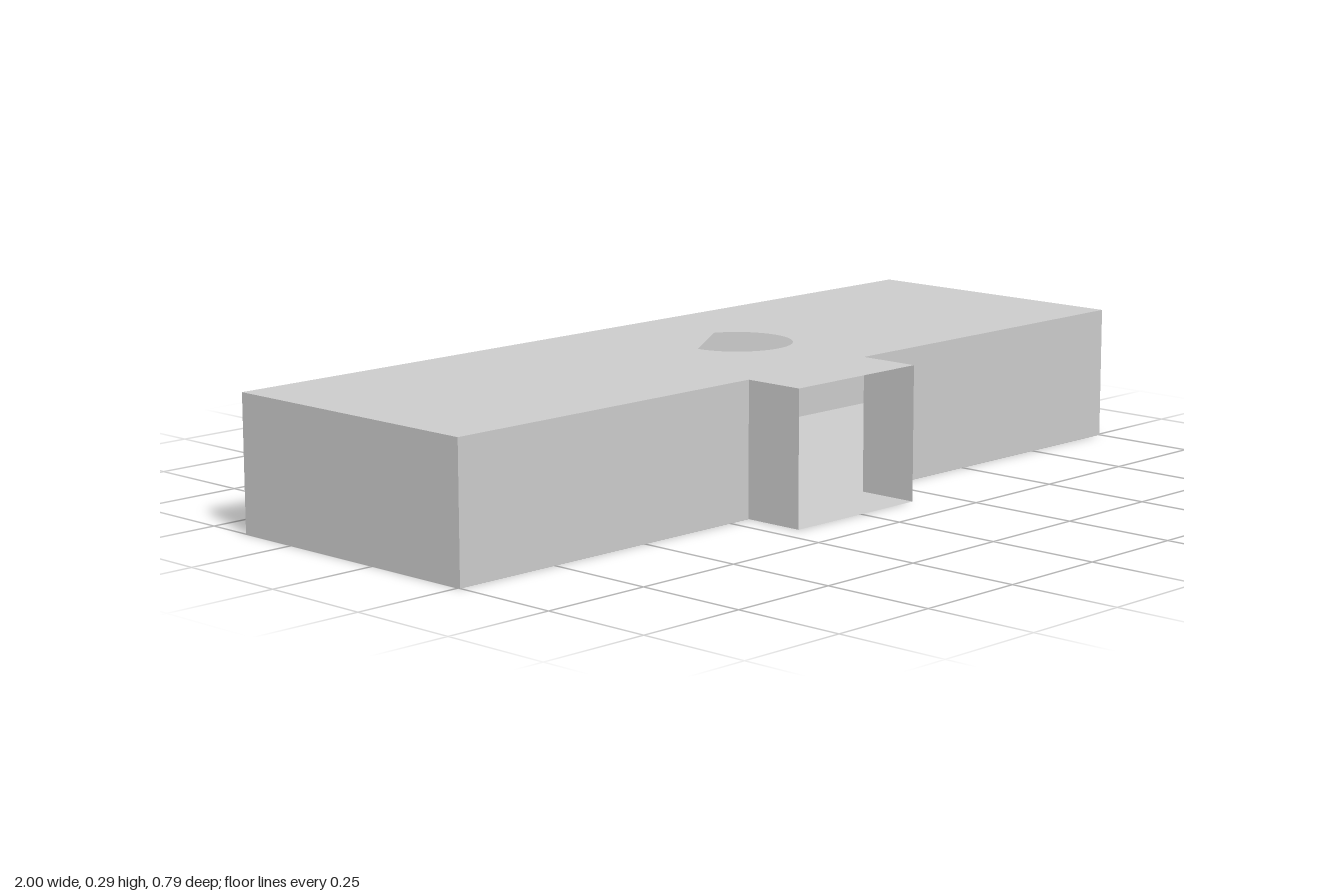
import * as THREE from 'three';

const H = 0.295;

// Plan outline as [x, z], starting and ending at the open mouth of the spout
const OUTLINE = [
  [0.165, 0.395], [0.165, 0.255], [1, 0.255], [1, -0.395],
  [-1, -0.395], [-1, 0.255], [-0.195, 0.255], [-0.195, 0.395],
];

export function createModel() {
  const group = new THREE.Group();
  const material = new THREE.MeshStandardMaterial({ color: 0xcccccc, side: THREE.DoubleSide });

  const add = (name, geometry) => {
    const mesh = new THREE.Mesh(geometry, material);
    mesh.name = name;
    group.add(mesh);
    return mesh;
  };
  const planShape = () => new THREE.Shape(OUTLINE.map(([x, z]) => new THREE.Vector2(x, -z)));

  // Floor of the hollow shell, facing down
  add('floor', new THREE.ShapeGeometry(planShape()).rotateX(-Math.PI / 2).scale(1, -1, 1));
  const floor = group.children[0].geometry;
  floor.setIndex(Array.from(floor.index.array).reverse());
  floor.computeVertexNormals();

  // Roof with a D-shaped opening: an arc closed by its chord
  const roof = planShape();
  const opening = new THREE.Path();
  opening.absarc(0.113, 0.07, 0.123, Math.PI, 2 * Math.PI + 1.18, false);
  opening.closePath();
  roof.holes.push(opening);
  add('roof', new THREE.ShapeGeometry(roof, 48).rotateX(-Math.PI / 2).translate(0, H, 0));

  // Outer walls; the front end of the spout stays open
  const names = ['spoutLeftWall', 'frontLeftWall', 'leftWall', 'backWall', 'rightWall', 'frontRightWall', 'spoutRightWall'];
  names.forEach((name, i) => {
    const [ax, az] = OUTLINE[i];
    const [bx, bz] = OUTLINE[i + 1];
    const wall = add(name, new THREE.PlaneGeometry(Math.hypot(bx - ax, bz - az), H));
    wall.position.set((ax + bx) / 2, H / 2, (az + bz) / 2);
    wall.rotation.y = Math.atan2(az - bz, bx - ax);
  });

  return group;
}
